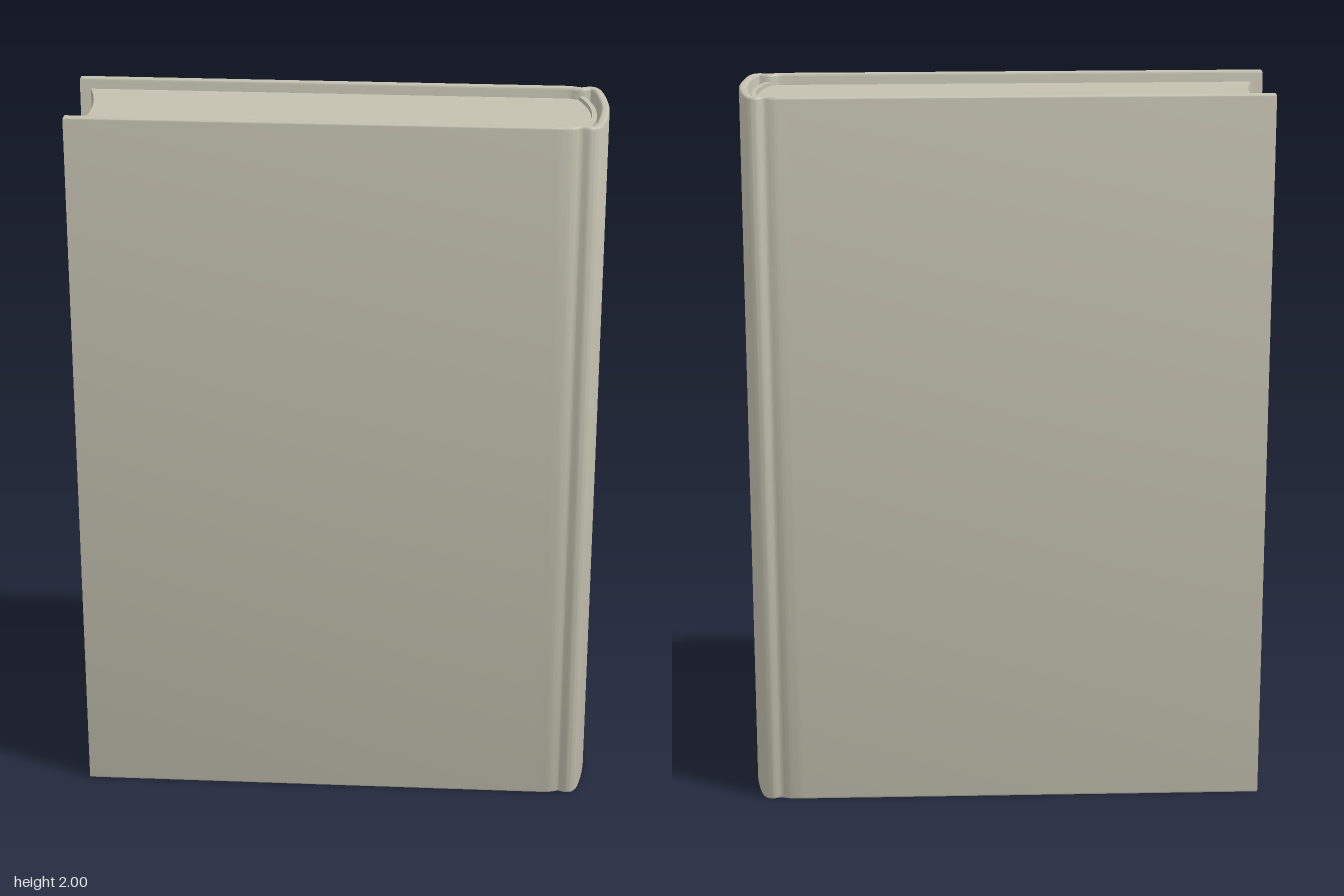
import * as THREE from 'three';
import { toCreasedNormals } from 'three/addons/utils/BufferGeometryUtils.js';

const material = new THREE.MeshStandardMaterial({ color: 0xc4c1b0 });
material.name = 'warm grey';

// Upright prism from a plan outline (x, -z), with optional rounded rims
function upright(name, outline, y0, y1, bevel = 0) {
  const geometry = new THREE.ExtrudeGeometry(new THREE.Shape(outline), {
    depth: y1 - y0 - 2 * bevel,
    bevelEnabled: bevel > 0,
    bevelSize: bevel,
    bevelThickness: bevel,
    bevelOffset: -bevel,
    bevelSegments: 3,
  });
  geometry.rotateX(-Math.PI / 2);
  geometry.translate(0, y0 + bevel, 0);
  const mesh = new THREE.Mesh(toCreasedNormals(geometry, 0.6), material);
  mesh.name = name;
  return mesh;
}

// Closed outline of constant thickness around a centre line
function thicken(line, thickness) {
  const side = (sign) => line.map((p, i) => {
    const a = line[Math.max(i - 1, 0)];
    const b = line[Math.min(i + 1, line.length - 1)];
    const t = b.clone().sub(a).normalize();
    return new THREE.Vector2(p.x - t.y * sign * thickness / 2, p.y + t.x * sign * thickness / 2);
  });
  return [...side(1), ...side(-1).reverse()];
}

// Shallow symmetric arc from z = -half to +half
function arc(endX, midX, half, n = 24) {
  return new THREE.QuadraticBezierCurve(
    new THREE.Vector2(endX, -half),
    new THREE.Vector2(2 * midX - endX, 0),
    new THREE.Vector2(endX, half),
  ).getPoints(n);
}

export function createModel() {
  const book = new THREE.Group();
  book.name = 'book';

  // Cover: flat boards, pinched hinges and a rounded spine in one sheet
  const half = [
    [0.59, 0.159], [0.61, 0.157], [0.635, 0.149], [0.66, 0.156], [0.676, 0.14], [0.689, 0.08],
  ].map(([x, y]) => new THREE.Vector2(x, y));
  const mirrored = half.map((p) => new THREE.Vector2(p.x, -p.y)).reverse();
  const spine = new THREE.SplineCurve([...half, new THREE.Vector2(0.696, 0), ...mirrored]);
  const sheet = [
    new THREE.Vector2(-0.707, 0.159),
    new THREE.Vector2(0.57, 0.159),
    ...spine.getPoints(72),
    new THREE.Vector2(0.57, -0.159),
    new THREE.Vector2(-0.707, -0.159),
  ];
  book.add(upright('cover', thicken(sheet, 0.022), 0, 2, 0.006));

  // Page block: hollow fore edge, rounded back
  const foreEdge = arc(-0.678, -0.654, 0.149).reverse();
  book.add(upright('pages', [...arc(0.622, 0.66, 0.149), ...foreEdge], 0.03, 1.97));

  // Thin lining wrapped round the back of the pages
  book.add(upright('spineLining', thicken(arc(0.634, 0.668, 0.143), 0.013), 0.02, 1.98));

  return book;
}
